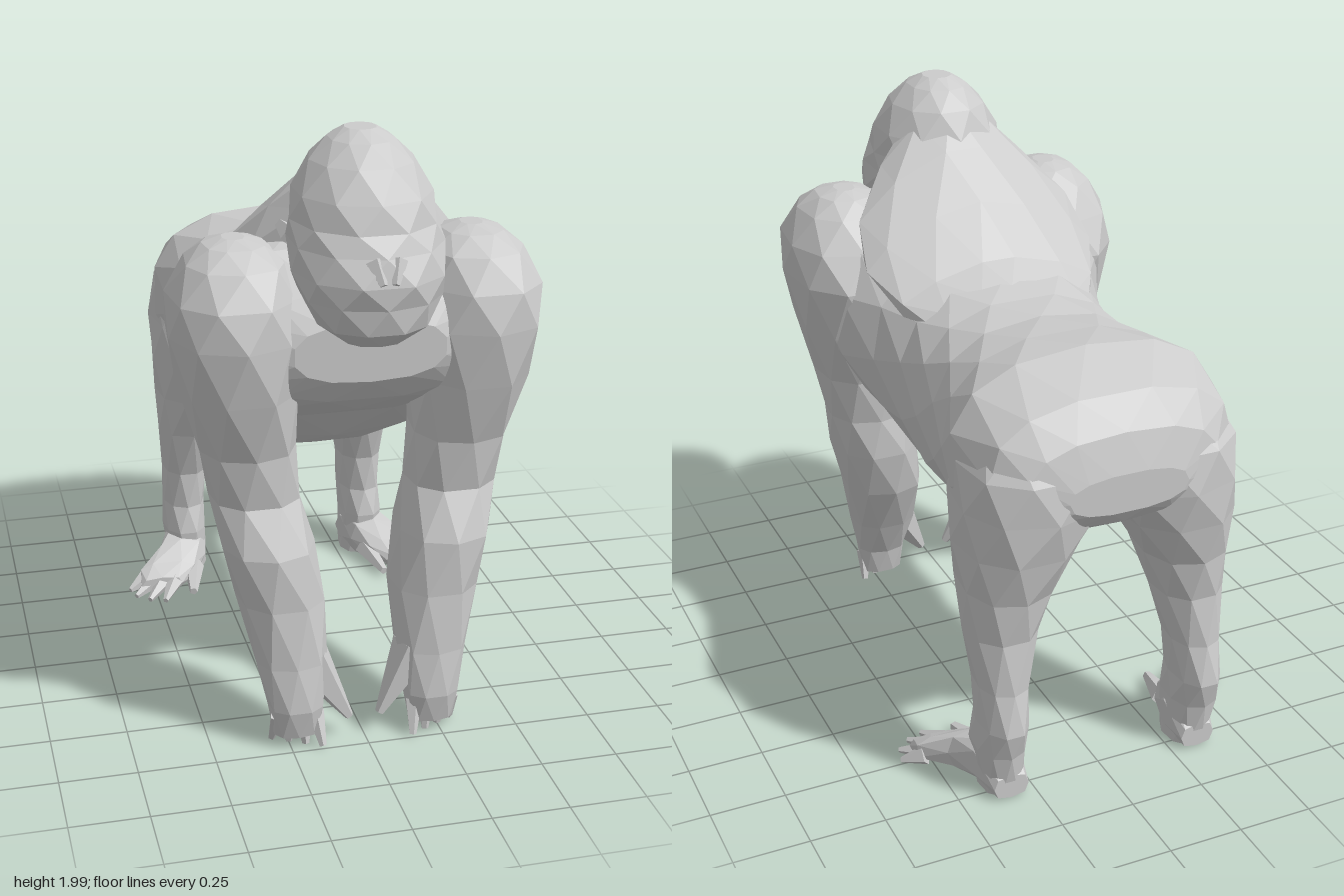
import * as THREE from 'three';

const material = new THREE.MeshStandardMaterial({ color: 0xcccccc, flatShading: true });

// Skins rings along z (u = x, v = y) or along y (u = z, v = x).
// Each section is [t, uMin, uMax, vMin, vMax]; alternate rings are turned half a step for facets.
function loft(axis, sections, sides, power = 0.85) {
  const pos = [], index = [];
  const put = (t, u, v) => (axis === 'z' ? pos.push(u, v, t) : pos.push(v, t, u));
  const bend = (c) => Math.sign(c) * Math.pow(Math.abs(c), power);
  sections.forEach(([t, u0, u1, v0, v1], i) => {
    for (let j = 0; j < sides; j++) {
      const a = ((j + (i % 2) * 0.5) / sides) * Math.PI * 2;
      put(t, (u0 + u1) / 2 + bend(Math.cos(a)) * (u1 - u0) / 2,
        (v0 + v1) / 2 + bend(Math.sin(a)) * (v1 - v0) / 2);
    }
  });
  for (let i = 0; i < sections.length - 1; i++) {
    for (let j = 0; j < sides; j++) {
      const k = (j + 1) % sides;
      const a = i * sides + j, b = i * sides + k, c = a + sides, d = b + sides;
      if (i % 2) index.push(a, b, d, a, d, c);
      else index.push(a, b, c, b, d, c);
    }
  }
  // end caps
  const n = sections.length;
  for (const i of [0, n - 1]) {
    const [t, u0, u1, v0, v1] = sections[i];
    const centre = pos.length / 3;
    put(t, (u0 + u1) / 2, (v0 + v1) / 2);
    for (let j = 0; j < sides; j++) {
      const a = i * sides + j, b = i * sides + (j + 1) % sides;
      if (i) index.push(centre, a, b);
      else index.push(centre, b, a);
    }
  }
  const g = new THREE.BufferGeometry();
  g.setAttribute('position', new THREE.Float32BufferAttribute(pos, 3));
  g.setIndex(index);
  return g;
}

// Tapered finger or toe between two points
function digit(from, to, r0, r1) {
  const a = new THREE.Vector3(...from), b = new THREE.Vector3(...to);
  const dir = b.clone().sub(a);
  const g = new THREE.CylinderGeometry(r1, r0, dir.length(), 5, 1);
  g.applyQuaternion(new THREE.Quaternion().setFromUnitVectors(
    new THREE.Vector3(0, 1, 0), dir.normalize()));
  const m = a.add(b).multiplyScalar(0.5);
  return g.translate(m.x, m.y, m.z);
}

function mirrored(geometry) {
  const g = geometry.clone().scale(-1, 1, 1);
  const ix = g.index.array;
  for (let i = 0; i < ix.length; i += 3) [ix[i], ix[i + 1]] = [ix[i + 1], ix[i]];
  return g;
}

export function createModel() {
  const model = new THREE.Group();
  model.name = 'ape';
  const add = (name, geometry, parent = model) => {
    const g = geometry.toNonIndexed();
    g.computeVertexNormals();
    const mesh = new THREE.Mesh(g, material);
    mesh.name = name;
    parent.add(mesh);
  };
  const addPair = (name, parts) => {
    for (const side of ['left', 'right']) {
      const group = new THREE.Group();
      group.name = side + name;
      for (const [part, g] of parts) add(part, side === 'left' ? g : mirrored(g), group);
      model.add(group);
    }
  };
  const symmetric = ([z, w, y0, y1]) => [z, -w, w, y0, y1];

  // Torso from rump to chest, broad at the shoulders
  const torso = [
    [-0.915, 0.2, 1.04, 1.17], [-0.88, 0.32, 0.99, 1.29], [-0.8, 0.41, 0.94, 1.385],
    [-0.6, 0.46, 0.86, 1.46], [-0.44, 0.415, 0.80, 1.445], [-0.28, 0.385, 0.765, 1.43],
    [-0.14, 0.38, 0.735, 1.44], [0.0, 0.385, 0.765, 1.465], [0.14, 0.42, 0.82, 1.54],
    [0.28, 0.49, 0.90, 1.62], [0.42, 0.54, 1.03, 1.675], [0.56, 0.52, 1.1, 1.65],
    [0.67, 0.4, 1.17, 1.53], [0.73, 0.24, 1.25, 1.44],
  ].map(symmetric);
  add('torso', loft('z', torso, 14, 0.8));

  // Trapezius sloping from the back up to the crest
  const neck = [
    [-0.06, 0.28, 1.25, 1.45], [0.05, 0.36, 1.25, 1.51], [0.2, 0.41, 1.28, 1.66],
    [0.34, 0.40, 1.3, 1.81], [0.46, 0.31, 1.32, 1.925], [0.55, 0.17, 1.42, 1.985],
  ].map(symmetric);
  add('neck', loft('z', neck, 12, 1.35));

  // Head, chin to crest
  const head = [
    [1.395, 0.68, 0.83, 0.09], [1.45, 0.58, 0.9, 0.17], [1.53, 0.5, 0.915, 0.215],
    [1.6, 0.42, 0.93, 0.235], [1.68, 0.38, 0.9, 0.235], [1.74, 0.35, 0.865, 0.225],
    [1.82, 0.36, 0.835, 0.21], [1.91, 0.4, 0.77, 0.16], [1.97, 0.46, 0.7, 0.1],
    [2.0, 0.52, 0.63, 0.05],
  ].map(([y, z0, z1, w]) => [y, z0, z1, -w, w]);
  add('head', loft('y', head, 10, 0.95));

  // Nose and ears
  addPair('Nostril', [['nostril', digit([0.035, 1.67, 0.875], [0.018, 1.61, 0.918], 0.03, 0.012)]]);
  addPair('Ear', [['ear', digit([0.2, 1.67, 0.53], [0.24, 1.71, 0.46], 0.04, 0.008)]]);

  // Arms resting on the knuckles
  const arm = loft('y', [
    [0.05, 0.62, 0.73, 0.15, 0.30], [0.15, 0.595, 0.755, 0.135, 0.315],
    [0.3, 0.515, 0.745, 0.115, 0.35], [0.5, 0.405, 0.735, 0.11, 0.395],
    [0.68, 0.355, 0.735, 0.14, 0.44], [0.83, 0.355, 0.665, 0.175, 0.465],
    [1.0, 0.33, 0.69, 0.19, 0.50], [1.2, 0.25, 0.755, 0.185, 0.555],
    [1.38, 0.22, 0.785, 0.18, 0.59], [1.5, 0.27, 0.765, 0.19, 0.585],
    [1.6, 0.34, 0.7, 0.22, 0.53], [1.65, 0.4, 0.62, 0.28, 0.47],
    [1.668, 0.46, 0.55, 0.34, 0.41],
  ], 9);
  const armParts = [['arm', arm],
    ['thumb', digit([0.175, 0.29, 0.65], [0.05, 0.085, 0.69], 0.075, 0.015)]];
  for (let i = 0; i < 4; i++) {
    const x = 0.165 + i * 0.04;
    armParts.push(['finger', digit([x, 0.12, 0.69], [x - 0.015 + i * 0.01, 0.018, 0.74 - i * 0.03], 0.03, 0.012)]);
  }
  addPair('Arm', armParts);

  // Hind legs, the buttocks meeting at the middle
  const leg = loft('y', [
    [0.015, -0.8, -0.62, 0.27, 0.41], [0.18, -0.835, -0.595, 0.27, 0.43],
    [0.28, -0.865, -0.615, 0.27, 0.425], [0.42, -0.84, -0.605, 0.26, 0.425],
    [0.6, -0.83, -0.54, 0.215, 0.445], [0.75, -0.855, -0.485, 0.165, 0.45],
    [0.9, -0.895, -0.44, 0.08, 0.465], [1.04, -0.92, -0.42, 0.0, 0.465],
    [1.17, -0.91, -0.45, -0.01, 0.45], [1.28, -0.83, -0.52, 0.04, 0.38],
  ], 9, 0.87);
  const foot = loft('z', [
    [-0.81, 0.28, 0.4, 0.015, 0.1], [-0.7, 0.265, 0.43, 0.015, 0.19],
    [-0.6, 0.29, 0.475, 0.015, 0.16], [-0.52, 0.34, 0.555, 0.015, 0.11],
    [-0.46, 0.4, 0.555, 0.02, 0.075],
  ], 8, 0.7);
  const legParts = [['leg', leg], ['foot', foot],
    ['bigToe', digit([0.34, 0.06, -0.57], [0.37, 0.035, -0.4], 0.04, 0.015)]];
  const toeTips = [[0.595, -0.49], [0.58, -0.435], [0.535, -0.395], [0.48, -0.375]];
  toeTips.forEach(([x, z], i) => legParts.push(
    ['toe', digit([0.525 - i * 0.035, 0.05, -0.53 + i * 0.012], [x, 0.022, z], 0.036, 0.01)]));
  addPair('Leg', legParts);

  return model;
}
